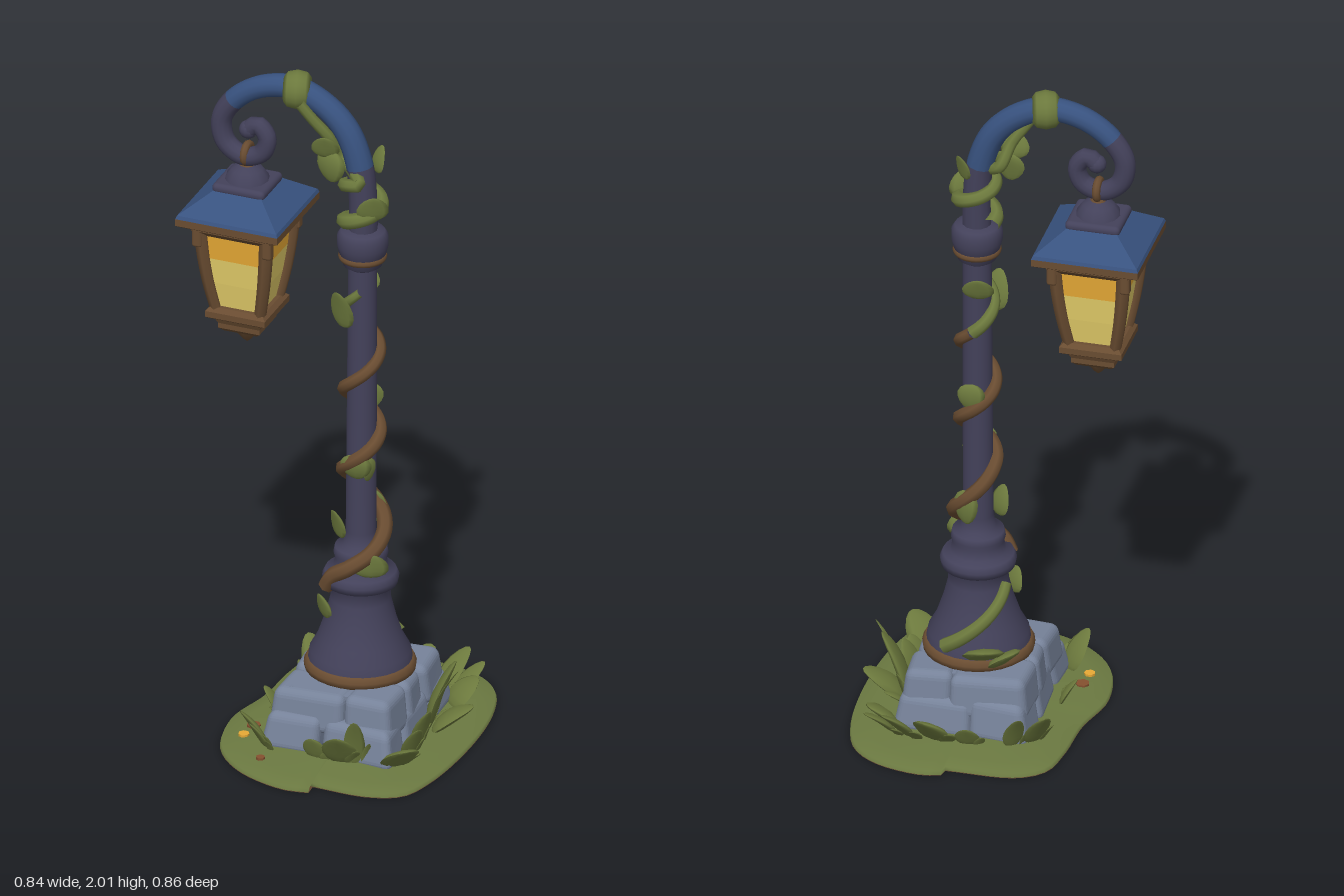
import * as THREE from 'three';
import { RoundedBoxGeometry } from 'three/addons/geometries/RoundedBoxGeometry.js';

const V = (x, y, z) => new THREE.Vector3(x, y, z);
const PX = 0.085; // pole axis

export function createModel() {
  const M = {};
  const colours = {
    iron: 0x43415a, roofBlue: 0x38527f, stone: 0x768299, bronze: 0x694c31, moss: 0x6b7941,
    leaf: 0x6c793d, glass: 0xf2da70, amber: 0xf0b038, soil: 0x60452d, rust: 0x85502f,
  };
  for (const [name, c] of Object.entries(colours)) {
    M[name] = new THREE.MeshStandardMaterial({ color: c });
    M[name].name = name;
  }
  M.moss.side = M.soil.side = THREE.DoubleSide;

  let seed = 7;
  const rnd = () => (seed = (seed * 16807) % 2147483647) / 2147483647;
  const root = new THREE.Group();
  root.name = 'streetLamp';
  const group = (name) => {
    const g = new THREE.Group();
    g.name = name;
    root.add(g);
    return g;
  };
  const add = (parent, name, geo, mat, x = 0, y = 0, z = 0) => {
    const m = new THREE.Mesh(geo, mat);
    m.name = name;
    m.position.set(x, y, z);
    parent.add(m);
    return m;
  };
  const lathe = (pts, n = 28) => new THREE.LatheGeometry(pts.map((p) => new THREE.Vector2(...p)), n);
  // Square solid of [half width, y] steps with hard edges
  const square = (pts) => {
    const g = new THREE.LatheGeometry(
      pts.map(([h, y]) => new THREE.Vector2(h * Math.SQRT2, y)), 4, Math.PI / 4).toNonIndexed();
    g.computeVertexNormals();
    return g;
  };
  // Tube whose radius runs from r0 to r1
  const taperTube = (curve, segs, r0, r1, sides) => {
    const g = new THREE.TubeGeometry(curve, segs, r0, sides);
    const p = g.attributes.position, v = V();
    for (let i = 0; i <= segs; i++) {
      const c = curve.getPointAt(i / segs), k = 1 + (r1 / r0 - 1) * (i / segs);
      for (let j = 0; j <= sides; j++) {
        const n = i * (sides + 1) + j;
        v.fromBufferAttribute(p, n).sub(c).multiplyScalar(k).add(c);
        p.setXYZ(n, v.x, v.y, v.z);
      }
    }
    return g;
  };
  // Pointed leaf growing up from its foot and bending towards +z
  const leaf = (parent, name, [x, y, z], yaw, pitch, len, wid, bend = 0.25) => {
    const g = new THREE.SphereGeometry(1, 8, 8), p = g.attributes.position;
    for (let i = 0; i < p.count; i++) {
      const t = (p.getY(i) + 1) / 2, s = 1 - 0.35 * t;
      p.setXYZ(i, p.getX(i) * wid * 0.6 * s, t * len, p.getZ(i) * wid * 0.16 * s + bend * len * t * t);
    }
    g.computeVertexNormals();
    const m = add(parent, name, g, M.leaf, x, y, z);
    m.rotation.order = 'YXZ';
    m.rotation.set(pitch, yaw, 0);
  };

  // Mossy ground: two offset halves, hollow underneath
  const ground = group('ground');
  const arc = (pts) => new THREE.CatmullRomCurve3(pts.map(([x, z]) => V(x, 0, z))).getSpacedPoints(40);
  const outline = [
    ...arc([[0.08, -0.393], [-0.12, -0.383], [-0.193, -0.33], [-0.218, -0.22], [-0.227, -0.06],
      [-0.26, 0.1], [-0.222, 0.27], [-0.12, 0.375], [0.03, 0.427], [0.105, 0.418]]),
    ...arc([[0.095, 0.38], [0.265, 0.38], [0.355, 0.34], [0.395, 0.24], [0.418, 0], [0.4, -0.217],
      [0.355, -0.34], [0.275, -0.405], [0.138, -0.434], [0.085, -0.42]]),
  ];
  const loft = (rings) => {
    const n = outline.length, pos = [], idx = [];
    for (const [s, y] of rings) for (const p of outline) pos.push(0.08 + (p.x - 0.08) * s, y, p.z * s);
    for (let r = 0; r + 1 < rings.length; r++) for (let i = 0; i < n; i++) {
      const a = r * n + i, b = r * n + ((i + 1) % n);
      idx.push(a, b, a + n, b, b + n, a + n);
    }
    const g = new THREE.BufferGeometry();
    g.setAttribute('position', new THREE.Float32BufferAttribute(pos, 3));
    g.setIndex(idx);
    g.computeVertexNormals();
    return g;
  };
  add(ground, 'mossTop', loft([[1, 0.002], [0.99, 0.012], [0.85, 0.02], [0.42, 0.03]]), M.moss);
  add(ground, 'soilUnderside', loft([[0.5, 0.02], [0.5, 0], [1, 0]]), M.soil);
  for (const [x, z, r, m] of [[-0.175, 0.14, 0.02, M.rust], [-0.18, 0.2, 0.016, M.amber], [-0.083, 0.313, 0.013, M.rust]])
    add(ground, 'fallenLeaf', new THREE.CylinderGeometry(r, r, 0.008, 7), m, x, 0.023, z);

  // Stone plinth: two staggered courses of uneven rounded blocks over a core
  const plinth = group('stonePlinth');
  const course = (xs, zs, y0, y1, slope) => {
    for (let i = 0; i + 1 < xs.length; i++) for (let j = 0; j + 1 < zs.length; j++) {
      const w = xs[i + 1] - xs[i] - 0.002, d = zs[j + 1] - zs[j] - 0.002, h = y1 - y0 - 0.015 * rnd();
      const cx = (xs[i] + xs[i + 1]) / 2, cz = (zs[j] + zs[j + 1]) / 2;
      const g = new RoundedBoxGeometry(w, h, d, 3, 0.025), p = g.attributes.position;
      const [tx, tz, sx, sz] = Array.from({ length: 4 }, () => 0.2 * (rnd() - 0.5));
      for (let k = 0; k < p.count; k++) {
        const x = p.getX(k), y = p.getY(k), z = p.getZ(k), lean = 1 - slope * (y + h / 2);
        p.setXYZ(k, (cx + x - PX) * lean + PX - cx + z * sx, y + (x * tx + z * tz) * 0.5, (cz + z) * lean - cz + x * sz);
      }
      g.computeVertexNormals();
      add(plinth, 'stoneBlock', g, M.stone, cx, y0 + h / 2, cz);
    }
  };
  add(plinth, 'core', new THREE.BoxGeometry(0.28, 0.165, 0.34), M.stone, PX, 0.1025, 0);
  course([-0.118, 0.055, 0.28], [-0.24, -0.09, 0.1, 0.245], 0.01, 0.13, 0.9);
  course([-0.107, 0.12, 0.265], [-0.215, -0.06, 0.06, 0.21], 0.07, 0.2, 0.6);

  // Pole, leaning back slightly
  const pole = group('pole');
  pole.position.z = -0.005;
  pole.rotation.x = -0.014;
  add(pole, 'baseRim', lathe([[0.14, 0.185], [0.156, 0.195], [0.158, 0.21], [0.15, 0.225], [0.13, 0.23]]), M.bronze, PX);
  add(pole, 'flaredBase', lathe([[0.148, 0.215], [0.142, 0.25], [0.12, 0.29], [0.1, 0.35], [0.085, 0.41], [0.083, 0.455],
    [0.104, 0.46], [0.108, 0.48], [0.1, 0.497], [0.078, 0.505], [0.072, 0.535], [0.077, 0.55], [0.073, 0.57],
    [0.05, 0.58], [0.043, 0.62], [0.042, 1.0], [0.04, 1.56]]), M.iron, PX);
  add(pole, 'collar', lathe([[0.04, 1.44], [0.055, 1.45], [0.058, 1.475], [0.066, 1.485], [0.072, 1.51], [0.072, 1.54],
    [0.062, 1.555], [0.04, 1.56]]), M.iron, PX);
  add(pole, 'collarBand', new THREE.TorusGeometry(0.057, 0.012, 8, 28).rotateX(Math.PI / 2), M.bronze, PX, 1.476);

  // Crook arm ending in a scroll
  const armCurve = new THREE.CatmullRomCurve3([[PX, 1.52], [PX, 1.65], [0.073, 1.76], [0.035, 1.855], [-0.03, 1.92],
    [-0.12, 1.958], [-0.22, 1.943], [-0.3, 1.89], [-0.342, 1.82], [-0.33, 1.75], [-0.275, 1.715], [-0.22, 1.735],
    [-0.205, 1.785], [-0.235, 1.82], [-0.262, 1.8]].map(([x, y]) => V(x, y, 0)));
  const armGeo = taperTube(armCurve, 90, 0.042, 0.025, 12);
  armGeo.addGroup(0, 18 * 72, 0);
  armGeo.addGroup(18 * 72, 40 * 72, 1);
  armGeo.addGroup(58 * 72, 32 * 72, 0);
  add(pole, 'crookArm', armGeo, [M.iron, M.roofBlue]);
  add(pole, 'scrollTip', new THREE.SphereGeometry(0.027, 12, 8), M.iron, -0.262, 1.8);

  // Vine: woody helix below, green shoots above and at the back of the base
  const vine = group('vine');
  vine.position.copy(pole.position);
  vine.rotation.copy(pole.rotation);
  const helix = (y0, y1, a0, turns, r0, r1, n) => Array.from({ length: n + 1 }, (_, i) => {
    const t = i / n, a = a0 - turns * Math.PI * 2 * t, r = r0 + (r1 - r0) * t;
    return V(PX + r * Math.cos(a), y0 + (y1 - y0) * t, r * Math.sin(a));
  });
  const stem = (name, pts, r0, r1, mat) =>
    add(vine, name, taperTube(new THREE.CatmullRomCurve3(pts), pts.length * 5, r0, r1, 7), mat);
  stem('woodyStem', [V(PX - 0.075, 0.46, 0.07), V(PX - 0.05, 0.5, 0.08), V(PX, 0.535, 0.084),
    ...helix(0.57, 0.75, 0.9, 0.5, 0.075, 0.054, 6), ...helix(0.78, 1.23, 3.5, 1.8, 0.052, 0.05, 18)], 0.024, 0.017, M.bronze);
  stem('greenStem', helix(1.23, 1.38, 3.5 - 1.8 * Math.PI * 2, 0.55, 0.05, 0.046, 8), 0.02, 0.013, M.leaf);
  stem('baseShoot', helix(0.25, 0.42, 5.2, 0.28, 0.142, 0.09, 9), 0.022, 0.016, M.leaf);
  stem('upperShoot', [...helix(1.57, 1.72, 3.6, 1.35, 0.052, 0.052, 12), V(0.015, 1.76, -0.02), V(-0.015, 1.83, 0.01),
    V(-0.055, 1.885, 0.03), V(-0.09, 1.935, 0.045)], 0.024, 0.015, M.leaf);
  const wrap = add(vine, 'armWrap', new THREE.TorusGeometry(0.036, 0.02, 8, 20), M.leaf, -0.115, 1.954);
  wrap.scale.z = 1.9;
  wrap.rotation.y = Math.PI / 2 + 0.3;
  for (const [x, y, z, yaw, pitch, len, wid] of [
    [0.09, 0.875, 0.05, 0.1, 2.95, 0.075, 0.09], [0.14, 0.505, 0.06, 0.4, -0.1, 0.075, 0.1],
    [0.035, 0.6, 0.035, -0.6, 0, 0.09, 0.07], [0.0, 0.35, 0.05, -0.7, 0, 0.075, 0.08],
    [0.13, 1.61, 0.04, 0.5, 0, 0.08, 0.09], [0.0, 1.79, 0.015, -0.3, 2.8, 0.09, 0.1],
    [-0.02, 1.77, 0.02, 0.2, 0.1, 0.075, 0.08], [0.045, 1.26, 0.04, -0.3, 0, 0.12, 0.08],
    [0.1, 0.72, -0.055, 2.8, 2.8, 0.1, 0.08], [0.07, 1.34, -0.045, 3.3, 0.1, 0.075, 0.09],
    [0.12, 0.86, 0.03, 1.2, 2.95, 0.07, 0.05], [0.11, 1.72, -0.04, 2.5, 0, 0.08, 0.06],
    [0.04, 0.23, -0.13, 3.5, 0.7, 0.1, 0.12], [0.0, 0.21, -0.12, 4.2, 0.6, 0.09, 0.11],
    [0.09, 1.06, -0.045, 3.1, 2.85, 0.08, 0.08],
  ]) leaf(vine, 'vineLeaf', [x, y, z], yaw, pitch, len, wid);

  // Broad leaves around the plinth: x, z, length, width, tilt
  const plants = group('plants');
  for (const [x, z, len, wid, tilt] of [
    [0.14, -0.255, 0.13, 0.11, 0.5], [0.22, -0.255, 0.15, 0.08, 0.55], [0.27, -0.24, 0.13, 0.07, 0.6],
    [0.28, -0.19, 0.11, 0.11, 0.6], [0.275, -0.05, 0.22, 0.12, 0.1], [0.29, -0.04, 0.14, 0.11, 0.7],
    [0.285, 0.06, 0.12, 0.08, 0.1], [0.285, 0.12, 0.1, 0.07, 0.2], [0.275, 0.2, 0.14, 0.11, 0.6],
    [0.13, 0.24, 0.13, 0.1, 0.35], [0.17, 0.24, 0.16, 0.06, 0.05],
    [0.06, 0.245, 0.08, 0.08, 0.15], [-0.1, 0.235, 0.1, 0.05, 0.3], [-0.115, 0.215, 0.13, 0.08, 0.3],
    [-0.12, -0.2, 0.13, 0.08, 0.35], [-0.07, -0.24, 0.13, 0.06, 0.25], [-0.14, 0.03, 0.09, 0.06, 0.3],
    [0.05, -0.26, 0.08, 0.07, 0.3],
  ]) {
    const yaw = Math.atan2(x - 0.08, z);
    leaf(plants, 'broadLeaf', [x, 0.015, z], yaw, tilt, len, wid);
    leaf(plants, 'smallLeaf', [x + 0.03 * Math.cos(yaw), 0.015, z - 0.03 * Math.sin(yaw)], yaw + 0.5, tilt, len * 0.5, wid * 0.5);
  }
  leaf(plants, 'tallBlade', [0.28, 0.02, -0.02], 1.5, 0.2, 0.23, 0.025, 0.25);

  // Lantern
  const lantern = group('lantern');
  lantern.position.set(-0.267, 0, -0.034);
  add(lantern, 'hangingRing', new THREE.TorusGeometry(0.026, 0.012, 8, 18), M.bronze, 0, 1.722).rotation.y = Math.PI / 2;
  add(lantern, 'hookKnob', lathe([[0.03, 1.675], [0.022, 1.69], [0.012, 1.705], [0, 1.71]], 12), M.bronze);
  add(lantern, 'capFlange', new RoundedBoxGeometry(0.158, 0.03, 0.15, 3, 0.014), M.iron, 0, 1.63);
  add(lantern, 'capDome', lathe([[0.066, 1.635], [0.06, 1.655], [0.045, 1.675], [0.02, 1.69], [0, 1.692]], 12), M.iron);
  add(lantern, 'roof', square([[0.154, 1.557], [0.15, 1.567], [0.085, 1.615], [0.068, 1.628], [0, 1.63]]), M.roofBlue);
  add(lantern, 'eave', square([[0, 1.528], [0.142, 1.528], [0.154, 1.536], [0.154, 1.557], [0, 1.558]]), M.bronze);
  add(lantern, 'topRail', square([[0, 1.495], [0.104, 1.495], [0.12, 1.512], [0.12, 1.53]]), M.bronze);
  add(lantern, 'amberGlass', square([[0.092, 1.42], [0.099, 1.497]]), M.amber);
  add(lantern, 'paleGlass', square([[0.064, 1.25], [0.081, 1.34], [0.092, 1.42]]), M.glass);
  add(lantern, 'bottomRail', square([[0, 1.225], [0.08, 1.225], [0.09, 1.232], [0.09, 1.25], [0.078, 1.262], [0, 1.265]]), M.bronze);
  add(lantern, 'foot', square([[0, 1.178], [0.05, 1.178], [0.062, 1.19], [0.062, 1.205], [0.072, 1.226]]), M.bronze);
  add(lantern, 'finial', lathe([[0, 1.13], [0.014, 1.142], [0.032, 1.165], [0.04, 1.18]], 10), M.bronze);
  for (const sx of [-1, 1]) for (const sz of [-1, 1]) {
    const at = (h, y) => V(sx * h, y, sz * h);
    const rib = new THREE.CatmullRomCurve3([at(0.064, 1.24), at(0.082, 1.34), at(0.092, 1.42), at(0.1, 1.52)]);
    add(lantern, 'cornerPost', taperTube(rib, 10, 0.017, 0.021, 6), M.bronze);
    add(lantern, 'cornerBracket', new RoundedBoxGeometry(0.03, 0.06, 0.03, 1, 0.008), M.bronze, sx * 0.105, 1.49, sz * 0.105);
  }
  return root;
}
